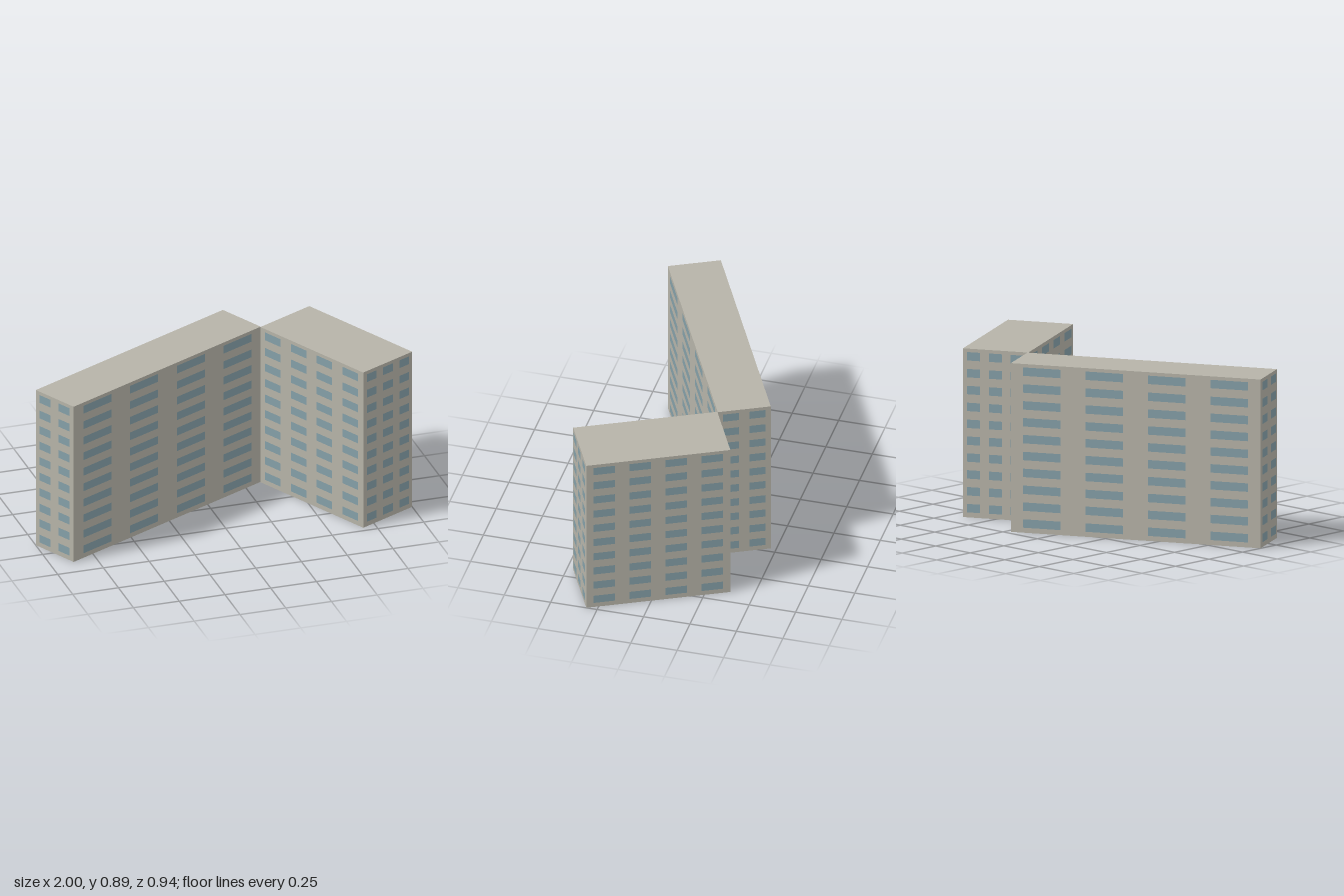
import * as THREE from 'three';
import { mergeGeometries } from 'three/addons/utils/BufferGeometryUtils.js';

const HEIGHT = 0.895;
const FLOORS = 10;
const TURN = 0.46;

const concrete = new THREE.MeshStandardMaterial({ color: 0xb6b3a8, side: THREE.DoubleSide });
concrete.name = 'concrete';
const glass = new THREE.MeshStandardMaterial({ color: 0x849fa7 });
glass.name = 'window glass';

// Four walls and a flat roof, open underneath
function shellGeometry(width, depth) {
  const geo = new THREE.BoxGeometry(width, HEIGHT, depth).translate(0, HEIGHT / 2, 0);
  const index = Array.from(geo.index.array);
  index.splice(18, 6); // drop the floor face
  geo.setIndex(index);
  geo.clearGroups();
  return geo;
}

// Grid of flat panes for one wall, facing +z before being turned into place
function windowGrid(wallWidth, bays, distance, angle) {
  const bay = wallWidth / bays;
  const floor = HEIGHT / FLOORS;
  const panes = [];
  for (let row = 0; row < FLOORS; row++) {
    for (let col = 0; col < bays; col++) {
      panes.push(new THREE.PlaneGeometry(bay * 0.6, floor * 0.5).translate(
        -wallWidth / 2 + (col + 0.5) * bay,
        (row + 0.55) * floor,
        distance + 0.002
      ));
    }
  }
  return mergeGeometries(panes).rotateY(angle);
}

// One slab block with windows on all four sides
function block(name, width, depth, baysWide, baysDeep) {
  const group = new THREE.Group();
  group.name = name;
  const shell = new THREE.Mesh(shellGeometry(width, depth), concrete);
  shell.name = 'walls and roof';
  group.add(shell);

  ['front', 'left', 'back', 'right'].forEach((side, i) => {
    const along = i % 2 === 0;
    const geo = along
      ? windowGrid(width, baysWide, depth / 2, i * Math.PI / 2)
      : windowGrid(depth, baysDeep, width / 2, i * Math.PI / 2);
    const windows = new THREE.Mesh(geo, glass);
    windows.name = `${side} windows`;
    group.add(windows);
  });
  group.rotation.y = TURN;
  return group;
}

export function createModel() {
  const model = new THREE.Group();
  model.name = 'apartment blocks';

  // The two blocks touch at one corner
  const longBlock = block('long block', 1.362, 0.28, 4, 2);
  longBlock.position.set(-0.327, 0, -0.043);
  const shortBlock = block('short block', 0.356, 0.762, 3, 4);
  shortBlock.position.set(0.671, 0, 0.046);

  model.add(longBlock, shortBlock);
  return model;
}
